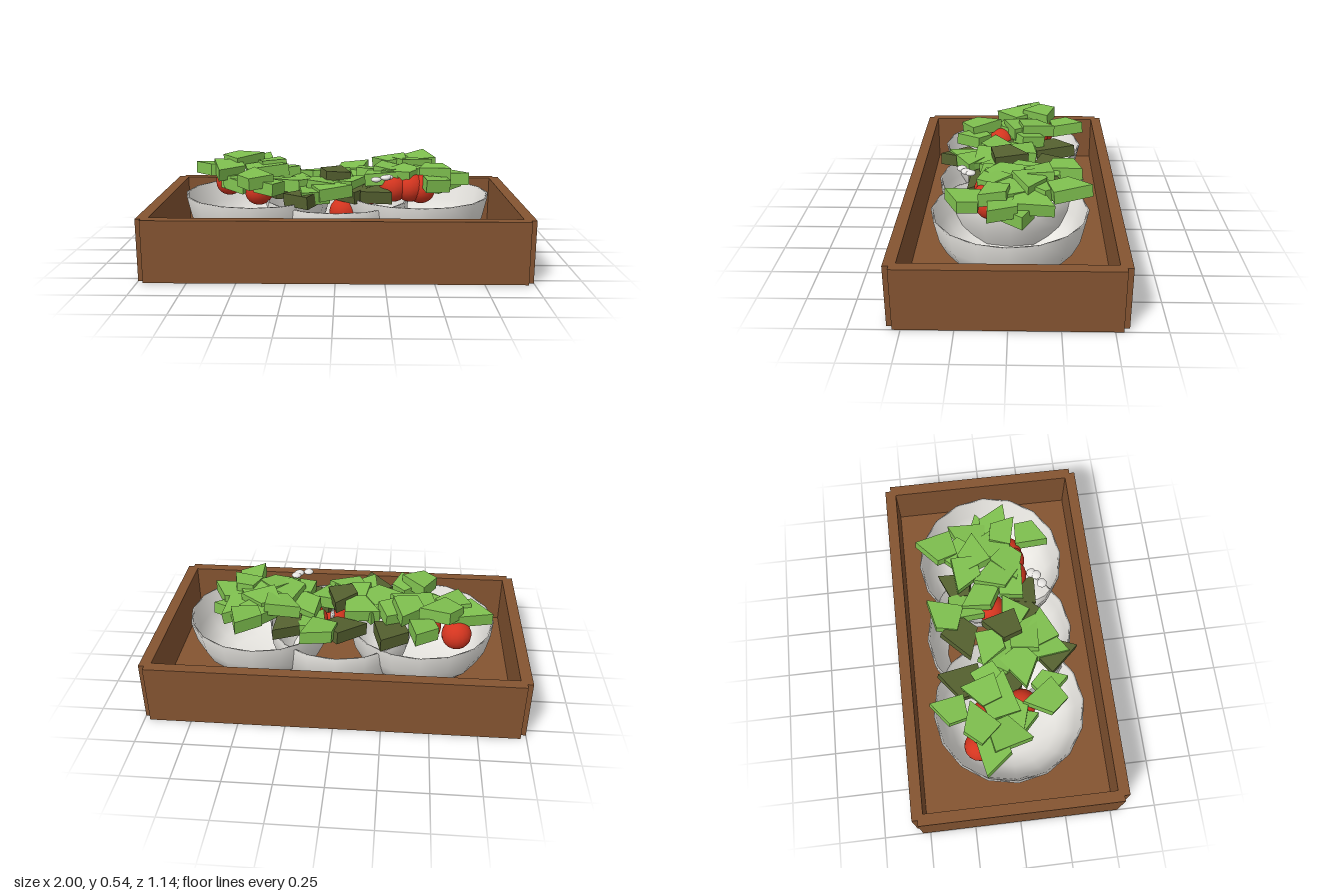
import * as THREE from 'three';

const mat = (name, color, extra = {}) => {
  const m = new THREE.MeshStandardMaterial({ color, ...extra });
  m.name = name;
  return m;
};

export function createModel() {
  const wood = mat('wood', 0x845431);
  const china = mat('china', 0xefede8, { side: THREE.DoubleSide });
  const green = mat('leaf green', 0x7fc04f, { flatShading: true });
  const olive = mat('dark leaf', 0x556130, { flatShading: true });
  const red = mat('tomato red', 0xd4351f);
  const cheese = mat('cheese white', 0xf5f3f0);

  const root = new THREE.Group();
  root.name = 'saladTray';
  const add = (name, geo, m, x, y, z, parent = root) => {
    const mesh = new THREE.Mesh(geo, m);
    mesh.name = name;
    mesh.position.set(x, y, z);
    parent.add(mesh);
    return mesh;
  };

  // Tray: floor and four walls with notched corners
  const tray = new THREE.Group();
  tray.name = 'tray';
  root.add(tray);
  add('trayFloor', new THREE.BoxGeometry(1.9, 0.0595, 1.04), wood, 0, 0.03025, 0, tray);
  for (const s of [-1, 1]) {
    add('longWall', new THREE.BoxGeometry(1.94, 0.325, 0.06), wood, 0, 0.1625, s * 0.54, tray);
    add('endWall', new THREE.BoxGeometry(0.06, 0.325, 1.08), wood, s * 0.97, 0.1625, 0, tray);
  }

  // Round bowls at the sides, and a lower flat-based one in the middle
  const bowl = (name, points, x, y) => add(name, new THREE.LatheGeometry(
    points.map(([r, h]) => new THREE.Vector2(r, h)), 16), china, x, y, 0);
  const roundProfile = [
    [0, 0], [0.2, 0.005], [0.28, 0.05], [0.34, 0.11], [0.38, 0.19], [0.405, 0.3],
    [0.393, 0.3], [0.368, 0.19], [0.328, 0.11], [0.27, 0.055], [0.19, 0.02], [0, 0.016],
  ];
  bowl('rightBowl', roundProfile, -0.44, 0.048);
  bowl('leftBowl', roundProfile, 0.44, 0.048);
  bowl('middleBowl', [
    [0, 0], [0.285, 0], [0.33, 0.07], [0.37, 0.16], [0.395, 0.24], [0.402, 0.32],
    [0.39, 0.32], [0.38, 0.24], [0.355, 0.16], [0.315, 0.075], [0.27, 0.02], [0, 0.016],
  ], 0, 0);

  // Tomatoes
  const tomato = new THREE.SphereGeometry(0.08, 16, 12);
  for (const [x, y, z] of [
    [-0.63, 0.37, -0.18], [-0.47, 0.38, -0.13], [-0.43, 0.37, 0.07],
    [0.31, 0.40, 0.11], [0.4, 0.40, 0.11], [0.46, 0.39, 0.1],
    [0.15, 0.33, -0.03], [0.04, 0.26, 0.1],
  ]) add('tomato', tomato, red, x, y, z);

  // Small cheese balls
  const ball = new THREE.SphereGeometry(0.028, 10, 8);
  for (const [x, y, z] of [[0.21, 0.472, 0.26], [0.26, 0.477, 0.235], [0.275, 0.475, 0.21]])
    add('cheeseBall', ball, cheese, x, y, z).scale.y = 0.5;

  // Thick kite-shaped leaves
  const kite = new THREE.Shape([
    [0.14, 0], [0, 0.105], [-0.105, 0.045], [-0.05, -0.095],
  ].map(([x, y]) => new THREE.Vector2(x, y)));
  const leafGeo = new THREE.ExtrudeGeometry(kite, { depth: 0.066, bevelEnabled: false });
  leafGeo.translate(0, 0, -0.033);
  leafGeo.rotateX(-Math.PI / 2);

  // Each row: x, y, z, heading in degrees, size
  const rightLeaves = [
    [-0.44, 0.46, -0.3, 75, 0.85], [-0.68, 0.46, -0.12, 165, 1], [-0.62, 0.47, -0.04, 260, 1],
    [-0.55, 0.5, -0.16, 20, 0.95], [-0.42, 0.46, -0.04, -10, 1.1], [-0.36, 0.48, -0.12, 80, 0.9],
    [-0.5, 0.42, 0, 200, 1], [-0.43, 0.46, 0.2, 100, 0.95], [-0.36, 0.42, 0.22, -75, 0.8],
    [-0.3, 0.44, -0.1, 180, 0.9], [-0.55, 0.4, 0.03, 290, 0.9],
  ];
  const middleLeaves = [
    [-0.16, 0.4, 0, 95, 1], [-0.22, 0.41, 0.08, 190, 1], [-0.07, 0.41, 0.14, -30, 1],
    [-0.04, 0.4, 0.23, 0, 0.9], [0.1, 0.42, -0.28, 50, 0.95], [0.13, 0.4, -0.19, 250, 0.9],
    [0.19, 0.44, -0.08, 120, 0.9], [0.08, 0.41, 0.09, 30, 0.8], [-0.13, 0.38, 0.23, 250, 1],
    [-0.1, 0.43, -0.07, 160, 0.9],
  ];
  const leftLeaves = [
    [0.49, 0.48, -0.28, 80, 0.95], [0.42, 0.46, -0.18, 200, 1], [0.32, 0.49, -0.16, 160, 0.9],
    [0.3, 0.47, 0.02, 110, 1], [0.23, 0.45, 0.1, -30, 0.85], [0.36, 0.47, 0.08, 200, 0.9],
    [0.48, 0.46, 0.01, 90, 1], [0.52, 0.44, 0.22, 245, 0.85], [0.6, 0.44, 0.05, -25, 0.95],
    [0.55, 0.44, -0.1, 60, 1], [0.41, 0.49, -0.09, 0, 0.9], [0.58, 0.39, -0.03, 15, 0.9],
    [0.53, 0.48, 0.08, -40, 0.8],
  ];
  const darkLeaves = [
    [-0.27, 0.38, -0.22, 75, 1.05], [0, 0.45, 0.03, 80, 0.9], [-0.02, 0.39, -0.22, 200, 1],
    [-0.18, 0.37, 0.28, -75, 0.95], [0.11, 0.37, 0.13, 20, 1], [0.28, 0.4, -0.2, 60, 0.85],
    [0.2, 0.37, 0.17, 330, 0.8], [-0.32, 0.36, 0, 170, 0.8],
  ];
  const scatter = (name, rows, m) => {
    const heap = new THREE.Group();
    heap.name = name;
    root.add(heap);
    rows.forEach(([x, y, z, deg, size], i) => {
      const leaf = add('leaf', leafGeo, m, x, y, z, heap);
      leaf.rotation.set(0.1 * Math.sin(i * 2.3), THREE.MathUtils.degToRad(deg), 0.1 * Math.cos(i * 1.7), 'YXZ');
      leaf.scale.set(size, 1, size);
    });
  };
  scatter('rightLeaves', rightLeaves, green);
  scatter('middleLeaves', middleLeaves, green);
  scatter('leftLeaves', leftLeaves, green);
  scatter('darkLeaves', darkLeaves, olive);

  return root;
}
